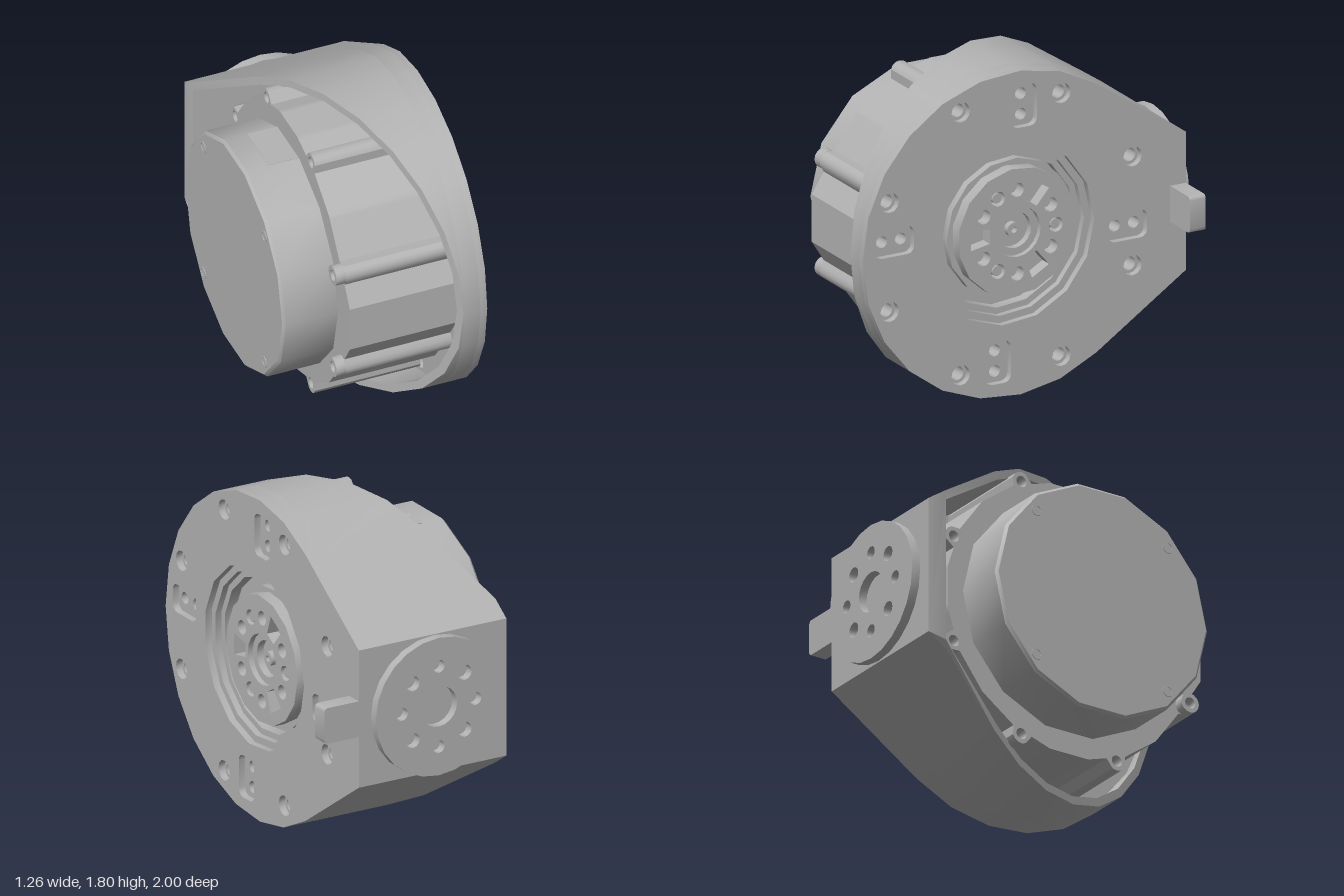
import * as THREE from 'three';
import { toCreasedNormals } from 'three/addons/utils/BufferGeometryUtils.js';

const metal = new THREE.MeshStandardMaterial({ color: 0xb3b3b3, side: THREE.DoubleSide });
metal.name = 'machined grey';

const CY = 0.9;          // height of the main axis
const PU = -0.11;        // plate centre (u = -z)
const BU = -0.062;       // gearbox centre (u = -z)
const RAD = Math.PI / 180;

const circle = (u, v, r, n = 14, start = 0) => Array.from({ length: n }, (_, i) => {
  const a = start + (i / n) * Math.PI * 2;
  return new THREE.Vector2(u + r * Math.cos(a), v + r * Math.sin(a));
});

// points on a ring around a centre, angles in degrees
const ring = (u, r, angles) => angles.map(a => [u + r * Math.cos(a * RAD), CY + r * Math.sin(a * RAD)]);

// extrude an outline with holes along x, from x0 to x1
function slab(outline, holes, x0, x1) {
  const shape = new THREE.Shape(outline);
  shape.holes = holes.map(h => new THREE.Path(h));
  const g = new THREE.ExtrudeGeometry(shape, { depth: x1 - x0, bevelEnabled: false });
  return g.rotateY(Math.PI / 2).translate(x0, 0, 0);
}

// round plate outline with straight flanks running to the square end
function teardrop(inset, ends) {
  const r = 0.9 - inset, t = 56 * RAD, pts = [];
  const flank = u => (r - (u + 0.1) * Math.cos(t)) / Math.sin(t);
  for (let i = 0; i <= 16; i++) {
    const a = t + (i / 16) * (2 * Math.PI - 2 * t);
    pts.push(new THREE.Vector2(-0.1 + r * Math.cos(a), CY + r * Math.sin(a)));
  }
  ends.forEach(u => pts.push(new THREE.Vector2(u, CY - flank(u))));
  [...ends].reverse().forEach(u => pts.push(new THREE.Vector2(u, CY + flank(u))));
  return pts;
}

function roundedRect(u, v, w, h, r) {
  const pts = [];
  [[1, 1, 0], [-1, 1, 90], [-1, -1, 180], [1, -1, 270]].forEach(([sx, sy, a0]) => {
    for (let i = 0; i <= 3; i++) {
      const a = (a0 + i * 30) * RAD;
      pts.push(new THREE.Vector2(u + sx * (w / 2 - r) + r * Math.cos(a), v + sy * (h / 2 - r) + r * Math.sin(a)));
    }
  });
  return pts;
}

export function createModel() {
  const model = new THREE.Group();
  const add = (name, geo, parent = model) => {
    const m = new THREE.Mesh(toCreasedNormals(geo, 0.55), metal);
    m.name = name;
    parent.add(m);
    return m;
  };
  // cylinder lying along x, from x0 to x1
  const rod = (name, u, v, r, x0, x1, n = 14) =>
    add(name, new THREE.CylinderGeometry(r, r, x1 - x0, n).rotateZ(-Math.PI / 2).translate((x0 + x1) / 2, v, -u));

  // mounting plate: bolt holes, and four pockets with a pair of pin holes each
  const boltAngles = Array.from({ length: 8 }, (_, i) => 22.5 + i * 45);
  const bolts = ring(PU, 0.79, boltAngles);
  const pockets = [], pins = [];
  for (let i = 0; i < 4; i++) {
    const a = i * 90 * RAD, c = Math.round(Math.cos(a)), s = Math.round(Math.sin(a));
    const u = PU + 0.7 * c + 0.078 * s, v = CY + 0.7 * s - 0.078 * c;
    pockets.push(roundedRect(u, v, c ? 0.235 : 0.155, c ? 0.155 : 0.235, 0.04));
    [-1, 1].forEach(k => pins.push(circle(u + k * 0.057 * c, v + k * 0.057 * s, 0.033, 12)));
  }
  const plate = new THREE.Group();
  plate.name = 'mountingPlate';
  model.add(plate);
  const outline = teardrop(0, [0.94]);
  add('plateBack', slab(outline, [circle(PU, CY, 0.46, 15),
    ...bolts.map(([u, v]) => circle(u, v, 0.038, 12)), ...pins], 0.28, 0.375), plate);
  add('plateFace', slab(outline, [circle(PU, CY, 0.5, 15),
    ...bolts.map(([u, v]) => circle(u, v, 0.056, 12)), ...pockets], 0.375, 0.413), plate);

  // shell wall, its open side cut on a slant
  const shell = slab(teardrop(0, [0.83, 0.94]), [teardrop(0.045, [0.83])], -0.49, 0.282);
  const p = shell.attributes.position;
  for (let i = 0; i < p.count; i++) {
    if (p.getX(i) < -0.4) p.setX(i, Math.max(-0.49, -0.49 + 0.42 * (p.getZ(i) + 0.83)));
  }
  shell.computeVertexNormals();
  add('shell', shell);

  // gearbox body: faceted drum with rounded bolt lobes
  const body = [];
  for (let d = 0; d < 360; d += 1.5) {
    const seg = Math.floor((d + 9) / 18), mid = seg * 18;
    const corner = k => {
      const a = (mid + k * 9) * RAD, r = Math.abs(mid + k * 9 - 180) < 10 ? 0.84 : 0.775;
      return new THREE.Vector2(r * Math.cos(a), r * Math.sin(a));
    };
    const A = corner(-1), B = corner(1).sub(A);
    const dir = new THREE.Vector2(Math.cos(d * RAD), Math.sin(d * RAD));
    let r = A.cross(B) / dir.cross(B);
    boltAngles.forEach(b => {
      const off = 0.787 * Math.sin((d - b) * RAD), along = 0.787 * Math.cos((d - b) * RAD);
      if (along > 0 && Math.abs(off) < 0.055) r = Math.max(r, along + Math.sqrt(0.055 ** 2 - off ** 2));
    });
    body.push(new THREE.Vector2(BU + r * dir.x, CY + r * dir.y));
  }
  const bodyBolts = ring(BU, 0.787, boltAngles);
  add('gearboxBody', slab(body, bodyBolts.map(([u, v]) => circle(u, v, 0.032, 12)), -0.32, 0.28));
  bodyBolts.filter(([u]) => u < -0.6).forEach(([u, v]) =>
    add('boltBoss', slab(circle(u, v, 0.055, 16), [circle(u, v, 0.032, 12)], -0.375, -0.32)));

  // motor cover with a softened rim, a cable slot cover and four screws
  const cover = new THREE.LatheGeometry(
    [[0.67, 0], [0.67, 0.295], [0.655, 0.31], [0, 0.31]].map(q => new THREE.Vector2(...q)), 14);
  add('motorCover', cover.rotateZ(Math.PI / 2).scale(1, 0.64 / 0.653, 1).translate(-0.32, CY, -BU));
  add('cableSlotCover', new THREE.BoxGeometry(0.17, 0.1, 0.29).translate(-0.405, 1.492, 0.052));
  ring(BU, 0.585, [45, 135, 225, 315]).forEach(([u, v]) => {
    add('coverScrewRim', slab(circle(u, v, 0.034, 12), [circle(u, v, 0.022, 12)], -0.634, -0.63));
  });

  // output socket ring and hub
  add('socketRing', slab(circle(PU, CY, 0.46, 15), [circle(PU, CY, 0.425, 15)], 0.28, 0.34));
  rod('hubBase', BU, CY, 0.385, 0.275, 0.325, 15);
  const hubHoles = [circle(BU, CY, 0.14, 20)];
  ring(BU, 0.232, [30, 90, 150, 210, 270, 330]).forEach(([u, v]) => hubHoles.push(circle(u, v, 0.04, 12)));
  const dowels = ring(BU, 0.232, [0, 120, 240]);
  dowels.forEach(([u, v]) => hubHoles.push(circle(u, v, 0.042, 12)));
  [60, 180, 300].forEach(a => hubHoles.push(
    [[0.17, -13], [0.285, -12], [0.285, 12], [0.17, 13]].map(([r, da]) =>
      new THREE.Vector2(...ring(BU, r, [a + da])[0]))));
  add('outputHub', slab(circle(BU, CY, 0.355, 15), hubHoles, 0.325, 0.395));
  dowels.forEach(([u, v]) => rod('dowel', u, v, 0.028, 0.325, 0.385, 12));
  add('hubBushing', slab(circle(BU, CY, 0.14, 20), [circle(BU, CY, 0.1, 20)], 0.325, 0.365));
  add('shaftEnd', slab(circle(BU, CY, 0.04, 14), [circle(BU, CY, 0.018, 10)], 0.325, 0.36));

  // rear flange facing -z
  const flange = new THREE.Shape(circle(0, 0, 0.385, 24));
  flange.holes.push(new THREE.Path(circle(0, 0, 0.112, 20)));
  for (let i = 0; i < 8; i++) {
    const a = i * 45 * RAD;
    flange.holes.push(new THREE.Path(circle(0.225 * Math.cos(a), 0.225 * Math.sin(a), i % 2 ? 0.042 : 0.036, 12)));
  }
  const flangeGeo = new THREE.ExtrudeGeometry(flange, { depth: 0.05, bevelEnabled: false });
  add('rearFlange', flangeGeo.translate(-0.04, CY, -1));
  const neck = new THREE.CylinderGeometry(0.37, 0.37, 0.012, 24).rotateX(Math.PI / 2);
  add('flangeNeck', neck.translate(-0.04, CY, -0.945));

  // side tab with rounded outer corners
  const tab = new THREE.Shape(roundedRect(0.5, CY, 0.246, 0.2, 0.02));
  const tabGeo = new THREE.ExtrudeGeometry(tab, { depth: 0.095, bevelEnabled: false });
  add('sideTab', tabGeo.translate(0, 0, -0.94));

  return model;
}
